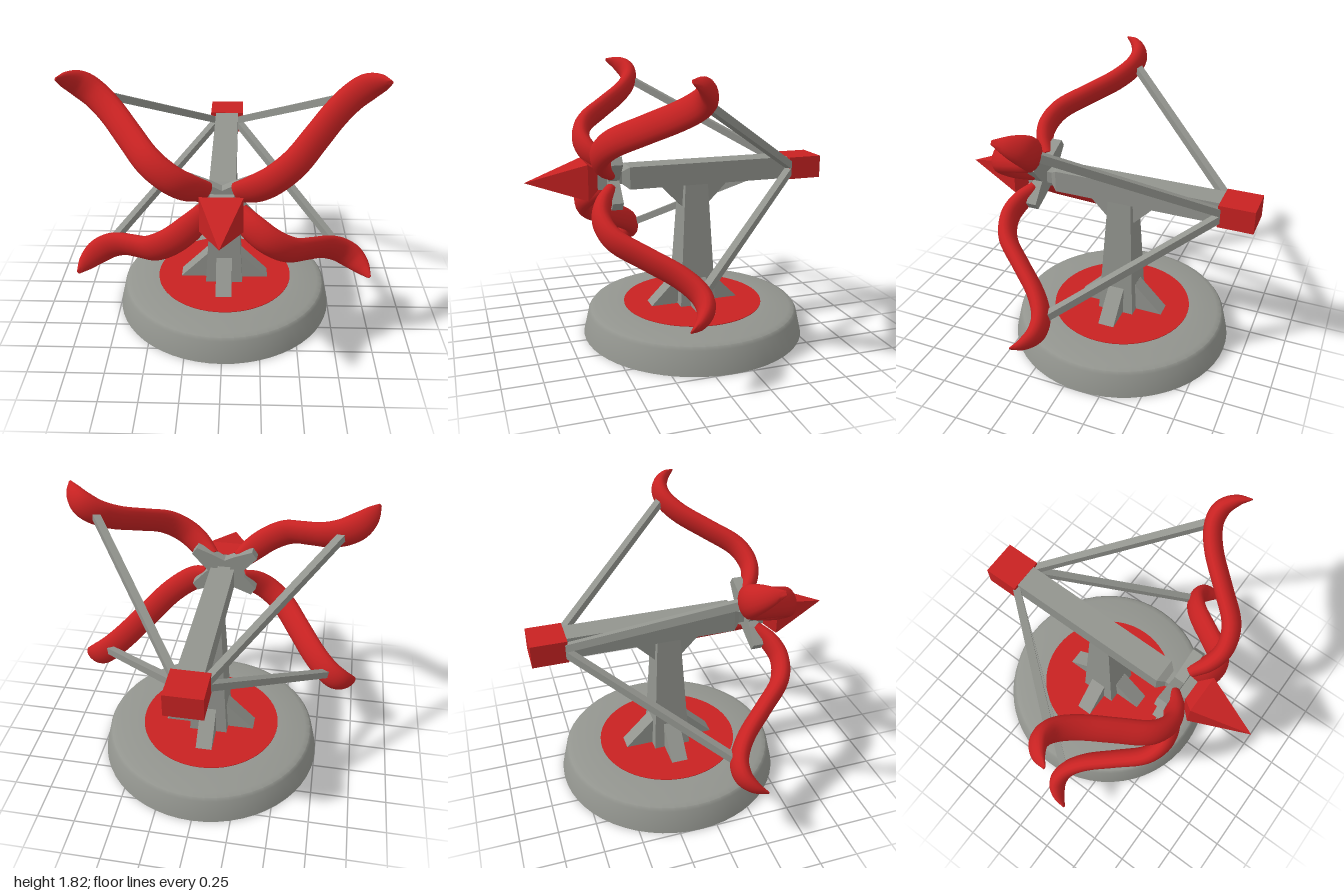
import * as THREE from 'three';
import { toCreasedNormals } from 'three/addons/utils/BufferGeometryUtils.js';

const AXIS_Y = 1.112;   // height of the beam and bow centre
const POST_Z = -0.113;  // centre of the base and post
const LIMB_ANGLE = 0.61;

export function createModel() {
  const model = new THREE.Group();
  const grey = new THREE.MeshStandardMaterial({ color: 0x92948e });
  grey.name = 'stone grey';
  const red = new THREE.MeshStandardMaterial({ color: 0xc82222 });
  red.name = 'red';

  function add(name, geometry, material, x = 0, y = 0, z = 0, parent = model) {
    const mesh = new THREE.Mesh(geometry, material);
    mesh.name = name;
    mesh.position.set(x, y, z);
    parent.add(mesh);
    return mesh;
  }

  // Box along z whose width and height change from the z0 end to the z1 end
  function taper(z0, w0, h0, z1, w1, h1) {
    const g = new THREE.BoxGeometry(1, 1, 1);
    const p = g.attributes.position;
    for (let i = 0; i < p.count; i++) {
      const far = p.getZ(i) > 0;
      p.setXYZ(i, p.getX(i) * (far ? w1 : w0), p.getY(i) * (far ? h1 : h0), far ? z1 : z0);
    }
    g.computeVertexNormals();
    return g;
  }

  // Flat polygon in x and y, extruded evenly about z = 0
  function slab(points, depth) {
    const shape = new THREE.Shape(points.map(([x, y]) => new THREE.Vector2(x, y)));
    return new THREE.ExtrudeGeometry(shape, { depth, bevelEnabled: false }).translate(0, 0, -depth / 2);
  }

  // Round base with a painted disc
  const profile = [[0, 0], [0.755, 0], [0.72, 0.155], [0.705, 0.175], [0.67, 0.187], [0.5, 0.203], [0, 0.203]];
  const lathe = new THREE.LatheGeometry(profile.map(([x, y]) => new THREE.Vector2(x, y)), 56);
  add('base', toCreasedNormals(lathe, 0.6), grey, 0, 0, POST_Z);
  add('baseDisc', new THREE.CylinderGeometry(0.475, 0.475, 0.006, 56), red, 0, 0.204, POST_Z);

  // Tapered post with four foot gussets and two braces under the beam
  const post = taper(0.2, 0.26, 0.25, 1.06, 0.16, 0.155).rotateX(-Math.PI / 2);
  add('post', post, grey, 0, 0, POST_Z);
  const foot = slab([[0.04, 0.2], [0.315, 0.2], [0.115, 0.402], [0.04, 0.402]], 0.11);
  for (let i = 0; i < 4; i++) {
    add('footGusset', foot, grey, 0, 0, POST_Z).rotation.y = i * Math.PI / 2;
  }
  const brace = slab([[0.03, 0.885], [0.083, 0.885], [0.245, 1.05], [0.03, 1.05]], 0.08);
  for (const s of [-1, 1]) {
    add('beamBrace', brace, grey, 0, 0, POST_Z).rotation.y = s * Math.PI / 2;
  }

  // Beam, neck, tail block and pointed head
  add('beam', taper(-0.79, 0.164, 0.146, 0.34, 0.164, 0.146), grey, 0, AXIS_Y);
  add('beamShoulder', taper(0.34, 0.164, 0.146, 0.385, 0.09, 0.08), grey, 0, AXIS_Y);
  add('neck', taper(0.38, 0.09, 0.08, 0.44, 0.09, 0.08), grey, 0, AXIS_Y);
  add('tailBlock', taper(-1, 0.236, 0.15, -0.77, 0.236, 0.15), red, 0, AXIS_Y);
  add('headCollar', taper(0.55, 0.14, 0.13, 0.622, 0.26, 0.232), red, 0, AXIS_Y);
  add('headPoint', taper(0.622, 0.26, 0.232, 1, 0.001, 0.001), red, 0, AXIS_Y);

  // Hub of the bow
  add('hub', taper(0.42, 0.17, 0.14, 0.56, 0.13, 0.12), grey, 0, AXIS_Y);

  // One limb: oval sections swept along an S curve lying in local x and z
  function limbGeometry() {
    // distance from axis, z, half width, half thickness
    const stations = [
      [0.125, 0.475, 0.072, 0.045], [0.24, 0.55, 0.09, 0.055], [0.37, 0.578, 0.092, 0.058],
      [0.52, 0.525, 0.092, 0.058], [0.67, 0.37, 0.092, 0.056], [0.82, 0.21, 0.092, 0.056],
      [0.95, 0.122, 0.092, 0.056], [1.06, 0.11, 0.088, 0.054], [1.145, 0.163, 0.06, 0.036],
      [1.198, 0.24, 0.012, 0.005],
    ];
    const curve = (a, b) => new THREE.CatmullRomCurve3(
      stations.map((s) => new THREE.Vector3(s[a], 0, s[b])), false, 'catmullrom', 0.5);
    const path = curve(0, 1), size = curve(2, 3);
    const rings = 45, sides = 16, pos = [], index = [];
    for (let i = 0; i <= rings; i++) {
      const c = path.getPoint(i / rings), t = path.getTangent(i / rings), s = size.getPoint(i / rings);
      for (let j = 0; j < sides; j++) {
        const a = j / sides * Math.PI * 2, n = Math.cos(a) * s.z;
        pos.push(c.x - t.z * n, -Math.sin(a) * s.x, c.z + t.x * n);
      }
    }
    for (let i = 0; i < rings; i++) {
      for (let j = 0; j < sides; j++) {
        const k = (j + 1) % sides, a = i * sides, b = a + sides;
        index.push(a + j, a + k, b + j, a + k, b + k, b + j);
      }
    }
    // End caps
    const last = rings * sides;
    for (let j = 1; j < sides - 1; j++) {
      index.push(0, j + 1, j, last, last + j, last + j + 1);
    }
    const g = new THREE.BufferGeometry();
    g.setAttribute('position', new THREE.Float32BufferAttribute(pos, 3));
    g.setIndex(index);
    return toCreasedNormals(g, 0.9);
  }

  // Four limbs in a cross, each with a bracket arm and a string to the tail
  const limb = limbGeometry();
  const arm = slab([[0, -0.08], [0.13, -0.06], [0.255, -0.03], [0.255, 0.03], [0.13, 0.06], [0, 0.08]], 0.07);
  const angles = [LIMB_ANGLE, Math.PI - LIMB_ANGLE, Math.PI + LIMB_ANGLE, -LIMB_ANGLE];
  for (const angle of angles) {
    const quarter = new THREE.Group();
    quarter.name = 'bowQuarter';
    quarter.position.y = AXIS_Y;
    quarter.rotation.z = angle;
    model.add(quarter);
    add('limb', limb, red, 0, 0, 0, quarter);
    add('bracketArm', arm, grey, 0, 0, 0.455, quarter);

    const from = new THREE.Vector3(Math.cos(angle) * 0.96, AXIS_Y + Math.sin(angle) * 0.96, 0.1);
    const to = new THREE.Vector3(Math.sign(Math.cos(angle)) * 0.085, AXIS_Y + Math.sin(angle) * 0.02, -0.79);
    const string = add('string', new THREE.BoxGeometry(0.048, 0.048, from.distanceTo(to)), grey);
    string.position.copy(from).lerp(to, 0.5);
    string.lookAt(to);
  }
  return model;
}
